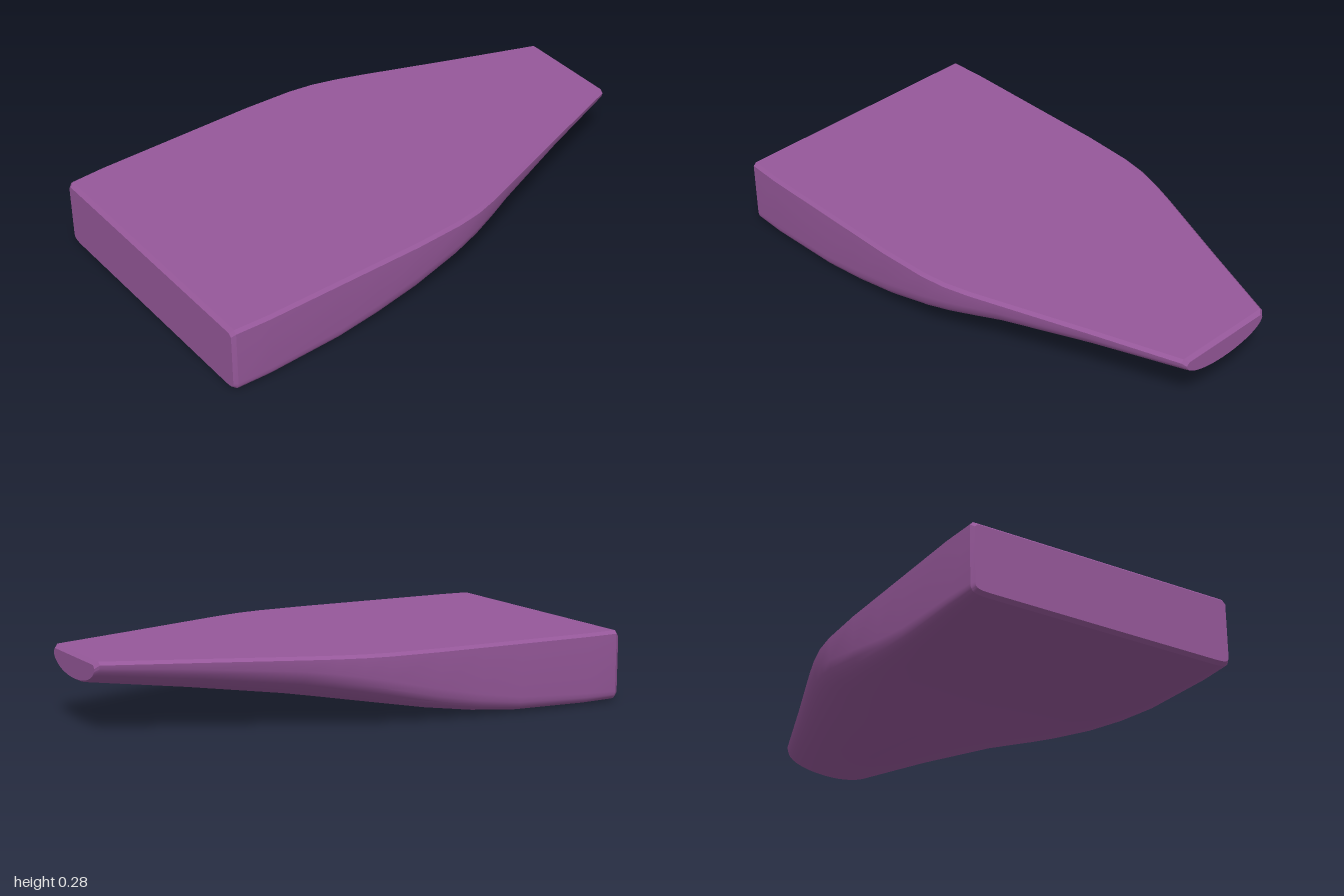
import * as THREE from 'three';
import { toCreasedNormals } from 'three/addons/utils/BufferGeometryUtils.js';

const TOP = 0.275;
const BEVEL = 0.012;
const SEGMENTS = 20;

// Stations along x: [x, half width, bottom y, squareness, top y, z offset]
const stations = [
  [-1.0, 0.53, 0.015, 30, 0.262, 0],
  [-0.985, 0.54, 0.003, 24, TOP, 0],
  [-0.85, 0.547, 0.0, 20, TOP, 0],
  [-0.55, 0.547, 0.0, 14, TOP, 0],
  [-0.38, 0.547, 0.01, 10, TOP, 0],
  [-0.2, 0.547, 0.03, 7, TOP, 0],
  [0.0, 0.538, 0.058, 4.6, TOP, 0],
  [0.1, 0.523, 0.07, 3.7, TOP, 0],
  [0.2, 0.495, 0.082, 3.1, TOP, 0],
  [0.3, 0.46, 0.094, 2.7, TOP, 0],
  [0.64, 0.335, 0.134, 2.25, TOP, 0.005],
  [0.985, 0.212, 0.174, 2, TOP, 0.01],
  [1.0, 0.198, 0.182, 2, 0.262, 0.01],
];

// One ring: flat top with bevelled edges, rounded underside
function section([x, half, bottom, n, top, dz]) {
  const ring = [[x, top, half - BEVEL + dz]];
  const shoulder = top - BEVEL;
  for (let j = 0; j <= SEGMENTS; j++) {
    const t = (j / SEGMENTS) * Math.PI;
    const c = Math.abs(Math.cos(t)) < 1e-9 ? 0 : Math.cos(t);
    const s = Math.max(0, Math.sin(t));
    const z = Math.sign(c) * half * Math.abs(c) ** (2 / n);
    const drop = j === 0 || j === SEGMENTS ? 0 : (shoulder - bottom) * s ** (2 / n);
    ring.push([x, shoulder - drop, z + dz]);
  }
  ring.push([x, top, -half + BEVEL + dz]);
  return ring;
}

// Skin the rings and close both ends
function loft(rings) {
  const count = rings[0].length;
  const positions = rings.flat(2);
  const index = [];
  for (let i = 0; i < rings.length - 1; i++) {
    for (let j = 0; j < count; j++) {
      const k = (j + 1) % count;
      const a = i * count + j, b = a + count;
      const c = i * count + k, d = c + count;
      index.push(a, c, b, b, c, d);
    }
  }
  const last = (rings.length - 1) * count;
  for (let j = 1; j < count - 1; j++) {
    index.push(0, j + 1, j);
    index.push(last, last + j, last + j + 1);
  }
  const geometry = new THREE.BufferGeometry();
  geometry.setAttribute('position', new THREE.Float32BufferAttribute(positions, 3));
  geometry.setIndex(index);
  return toCreasedNormals(geometry, 0.45);
}

export function createModel() {
  const group = new THREE.Group();
  group.name = 'taperedHull';
  const material = new THREE.MeshStandardMaterial({ color: 0x96589a });
  const hull = new THREE.Mesh(loft(stations.map(section)), material);
  hull.name = 'hull';
  group.add(hull);
  return group;
}
